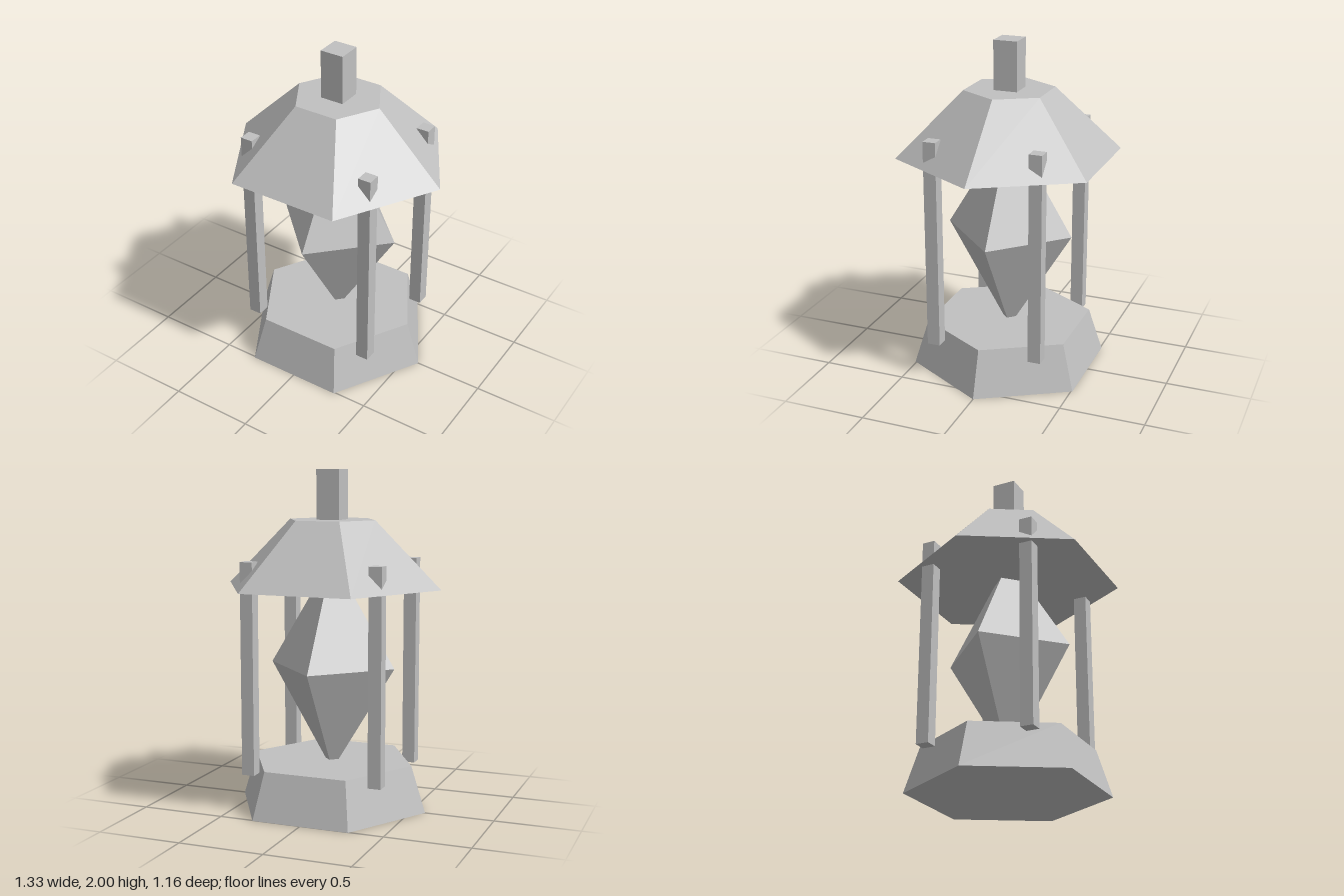
import * as THREE from 'three';

export function createModel() {
  const group = new THREE.Group();
  const stone = new THREE.MeshStandardMaterial({ color: 0xc0c0c0, flatShading: true });
  stone.name = 'grey stone';

  const add = (name, geometry, x, y, z) => {
    const mesh = new THREE.Mesh(geometry, stone);
    mesh.name = name;
    mesh.position.set(x, y, z);
    group.add(mesh);
  };

  // Six-sided tapered block with corners on the x axis
  const hexBlock = (name, topRadius, bottomRadius, y0, y1) =>
    add(name, new THREE.CylinderGeometry(topRadius, bottomRadius, y1 - y0, 6).rotateY(Math.PI / 6),
      0, (y0 + y1) / 2, 0);

  hexBlock('base', 0.5, 0.587, 0, 0.275);
  hexBlock('roof', 0.267, 0.667, 1.32, 1.71);

  // Square finial on the roof
  add('finial', new THREE.BoxGeometry(0.142, 0.29, 0.142), 0, 1.855, 0);

  // Stretched octahedral lamp, its tips sunk into base and roof
  add('lamp', new THREE.OctahedronGeometry(1).scale(0.39, 0.641, 0.39), 0, 0.846, 0);

  // Four corner posts that pierce the roof
  for (const sx of [-1, 1])
    for (const sz of [-1, 1])
      add('post', new THREE.BoxGeometry(0.077, 1.255, 0.077), sx * 0.392, 0.8475, sz * 0.316);

  return group;
}
